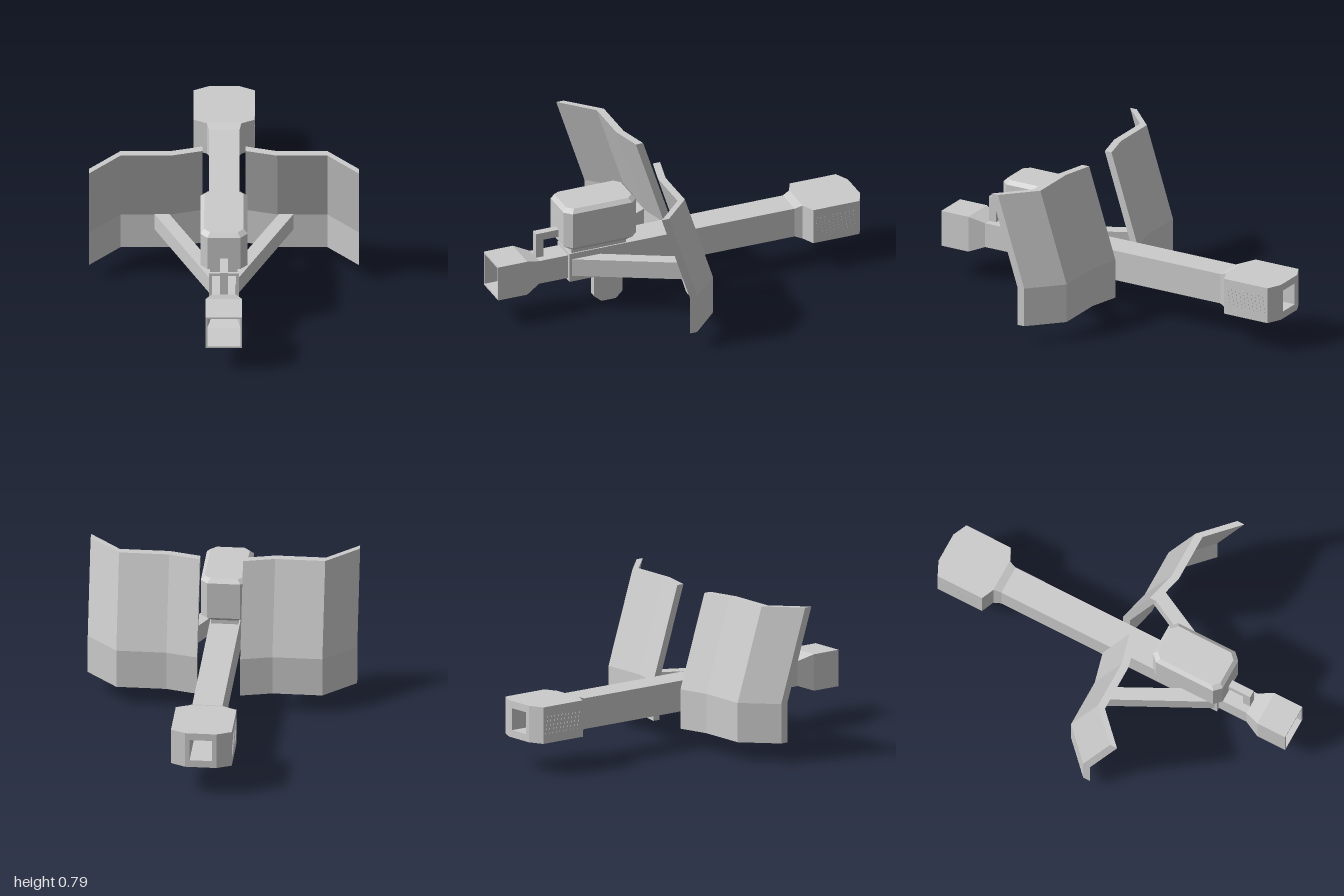
import * as THREE from 'three';

const grey = new THREE.MeshStandardMaterial({ color: 0xcccccc, flatShading: true });

function add(parent, name, geometry, x = 0, y = 0, z = 0) {
  const mesh = new THREE.Mesh(geometry, grey);
  mesh.name = name;
  mesh.position.set(x, y, z);
  parent.add(mesh);
  return mesh;
}

// Rectangular ring, with cut corners when c > 0, anticlockwise seen from +z
function ring([z, hx, hy, c = 0]) {
  const pts = [];
  for (const [sx, sy] of [[1, -1], [1, 1], [-1, 1], [-1, -1]]) {
    const a = [sx * hx, sy * (hy - c), z];
    const b = [sx * (hx - c), sy * hy, z];
    if (c === 0) pts.push(a);
    else pts.push(...(sx * sy > 0 ? [a, b] : [b, a]));
  }
  return pts;
}

// Skin a row of rings running towards -z; optionally join the last to the first
function loft(sections, loop = false) {
  const rings = sections.map(ring);
  const n = rings[0].length;
  const pos = [];
  const tri = (a, b, c) => pos.push(...a, ...b, ...c);
  const steps = loop ? rings.length : rings.length - 1;
  for (let i = 0; i < steps; i++) {
    const r = rings[i], s = rings[(i + 1) % rings.length];
    for (let j = 0; j < n; j++) {
      const k = (j + 1) % n;
      tri(r[j], s[j], r[k]);
      tri(r[k], s[j], s[k]);
    }
  }
  if (!loop) {
    const last = rings[rings.length - 1];
    for (let j = 1; j < n - 1; j++) {
      tri(rings[0][0], rings[0][j], rings[0][j + 1]);
      tri(last[0], last[j + 1], last[j]);
    }
  }
  const g = new THREE.BufferGeometry();
  g.setAttribute('position', new THREE.Float32BufferAttribute(pos, 3));
  g.computeVertexNormals();
  return g;
}

// Extrude a plan outline of [x, z] points upwards
function plan(points, depth, steps = 1) {
  const shape = new THREE.Shape(points.map(([x, z]) => new THREE.Vector2(x, -z)));
  return new THREE.ExtrudeGeometry(shape, { depth, steps, bevelEnabled: false }).rotateX(-Math.PI / 2);
}

// Bent armour plate: upright skirt, then leaning forwards
function shieldGeometry(side) {
  const back = [[0.11, -0.04], [0.27, 0], [0.525, 0], [0.685, 0.155]];
  const front = back.map(([x, z]) => [x, z + 0.04]).reverse();
  const g = plan([...back, ...front].map(([x, z]) => [side * x, z]), 1, 2);
  const p = g.attributes.position;
  for (let i = 0; i < p.count; i++) {
    const level = Math.round(p.getY(i) * 2);
    p.setY(i, [0.1, 0.305, 0.785][level]);
    if (level === 2) p.setZ(i, p.getZ(i) + 0.155);
  }
  g.computeVertexNormals();
  return g;
}

export function createModel() {
  const model = new THREE.Group();
  model.name = 'shieldedLauncher';

  // Hollow square barrel: outside front to back, then the bore back to front
  add(model, 'barrel', loft([
    [1, 0.093, 0.095], [0.84, 0.093, 0.095], [0.76, 0.06, 0.065], [0.6, 0.06, 0.065],
    [0.6, 0.077, 0.08], [-0.64, 0.077, 0.08], [-0.68, 0.088, 0.095], [-0.71, 0.155, 0.095],
    [-0.965, 0.155, 0.095], [-1, 0.08, 0.095],
    [-1, 0.057, 0.057], [0.76, 0.057, 0.057], [0.84, 0.084, 0.086], [1, 0.084, 0.086],
  ], true), 0, 0.26, 0);

  // Sight housing with cut corners, bevelled above and below
  const sight = loft([
    [0.61, 0.1, 0.18, 0.03], [0.59, 0.12, 0.2, 0.036],
    [0.395, 0.12, 0.2, 0.036], [0.368, 0.09, 0.165, 0.025],
  ]).rotateX(-Math.PI / 2);
  add(model, 'sightHousing', sight, 0, 0, 0.436);
  add(model, 'sightMount', new THREE.BoxGeometry(0.14, 0.05, 0.3), 0, 0.355, 0.435);

  // Cranked bracket from the sight down to the barrel
  add(model, 'bracketArm', new THREE.BoxGeometry(0.04, 0.04, 0.13), 0, 0.44, 0.695);
  add(model, 'bracketPost', new THREE.BoxGeometry(0.04, 0.11, 0.04), 0, 0.37, 0.74);

  // Flat grip under the barrel
  const outline = [[0.44, 0.19], [0.44, 0.035], [0.4, 0], [0.32, 0], [0.285, 0.035], [0.285, 0.19]];
  const gripShape = new THREE.Shape(outline.map(([z, y]) => new THREE.Vector2(-z, y)));
  const grip = new THREE.ExtrudeGeometry(gripShape, { depth: 0.04, bevelEnabled: false });
  add(model, 'grip', grip.translate(0, 0, -0.02).rotateY(Math.PI / 2));

  for (const side of [1, -1]) {
    const label = side > 0 ? 'left' : 'right';
    add(model, label + 'Shield', shieldGeometry(side));

    // Slanting strut from barrel to shield
    const strut = [[0.07, 0.6], [0.37, 0.005], [0.295, 0.005], [0.07, 0.445]];
    add(model, label + 'Strut', plan(strut.map(([x, z]) => [side * x, z]), 0.095), 0, 0.212, 0);

    // Slanted vent slats on the rear housing
    const vents = new THREE.Group();
    vents.name = label + 'Vents';
    for (let i = 0; i < 10; i++) {
      const slat = add(vents, 'slat', new THREE.BoxGeometry(0.004, 0.095, 0.008),
        side * 0.1545, 0.26, -0.735 - i * 0.0228);
      slat.rotation.x = 0.15;
    }
    model.add(vents);
  }
  return model;
}
